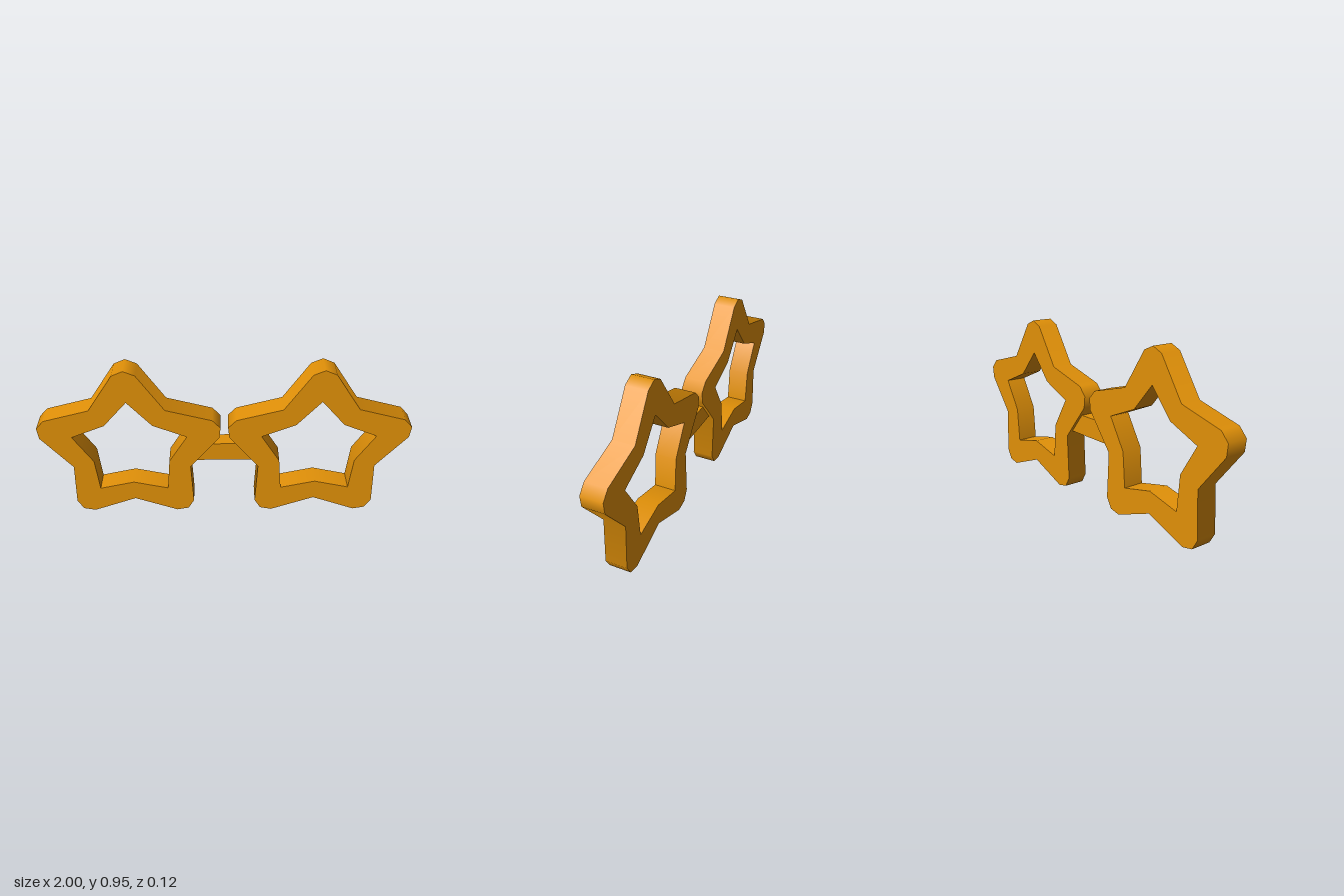
import * as THREE from 'three';

const DEPTH = 0.12;
const CENTER_X = 0.51;
const CENTER_Y = 0.43;

// Point at a radius and an angle in degrees anticlockwise from straight up
function polar(radius, degrees) {
  const a = THREE.MathUtils.degToRad(degrees);
  return new THREE.Vector2(-radius * Math.sin(a), radius * Math.cos(a));
}

// Softens wall normals evenly along the depth, keeping rims and tight corners sharp
function smoothWalls(geometry, creaseAngle) {
  const flat = geometry.index ? geometry.toNonIndexed() : geometry;
  flat.computeVertexNormals();
  const position = flat.attributes.position;
  const faceNormals = flat.attributes.normal.clone();
  const normalAt = (i) => new THREE.Vector3().fromBufferAttribute(faceNormals, i);
  const keyAt = (i) => `${position.getX(i).toFixed(4)},${position.getY(i).toFixed(4)}`;

  // Distinct wall directions meeting along each edge that runs front to back
  const walls = new Map();
  for (let i = 0; i < position.count; i++) {
    const n = normalAt(i);
    if (Math.abs(n.z) > 0.5) continue;
    if (!walls.has(keyAt(i))) walls.set(keyAt(i), []);
    const list = walls.get(keyAt(i));
    if (!list.some((m) => m.angleTo(n) < 0.01)) list.push(n);
  }
  for (let i = 0; i < position.count; i++) {
    const n = normalAt(i);
    if (Math.abs(n.z) > 0.5) continue;
    const sum = new THREE.Vector3();
    for (const m of walls.get(keyAt(i))) if (m.angleTo(n) < creaseAngle) sum.add(m);
    sum.normalize();
    flat.attributes.normal.setXYZ(i, sum.x, sum.y, sum.z);
  }
  return flat;
}

// Five-pointed ring: blunt three-point outer tips, sharp inner tips
function starFrameGeometry() {
  const outer = [];
  const inner = [];
  for (let i = 0; i < 5; i++) {
    const a = i * 72;
    outer.push(polar(0.492, a - 7), polar(0.515, a), polar(0.492, a + 7), polar(0.34, a + 36));
    inner.push(polar(0.325, a), polar(0.218, a + 36));
  }
  const shape = new THREE.Shape(outer);
  shape.holes.push(new THREE.Path(inner));
  const geometry = new THREE.ExtrudeGeometry(shape, { depth: DEPTH, bevelEnabled: false });
  geometry.translate(0, 0, -DEPTH / 2);
  return smoothWalls(geometry, 0.9);
}

export function createModel() {
  const group = new THREE.Group();
  group.name = 'starGlasses';
  const gold = new THREE.MeshStandardMaterial({ color: 0xe29108 });
  gold.name = 'gold';

  // Star-shaped rims
  const starGeometry = starFrameGeometry();
  for (const [name, side] of [['leftRim', 1], ['rightRim', -1]]) {
    const rim = new THREE.Mesh(starGeometry, gold);
    rim.name = name;
    rim.position.set(side * CENTER_X, CENTER_Y, 0);
    group.add(rim);
  }

  // Bridge joining the rims, its ends sunk into them
  const bridge = new THREE.Mesh(new THREE.BoxGeometry(0.38, 0.112, 0.085), gold);
  bridge.name = 'bridge';
  bridge.position.set(0, 0.414, 0);
  group.add(bridge);

  return group;
}
